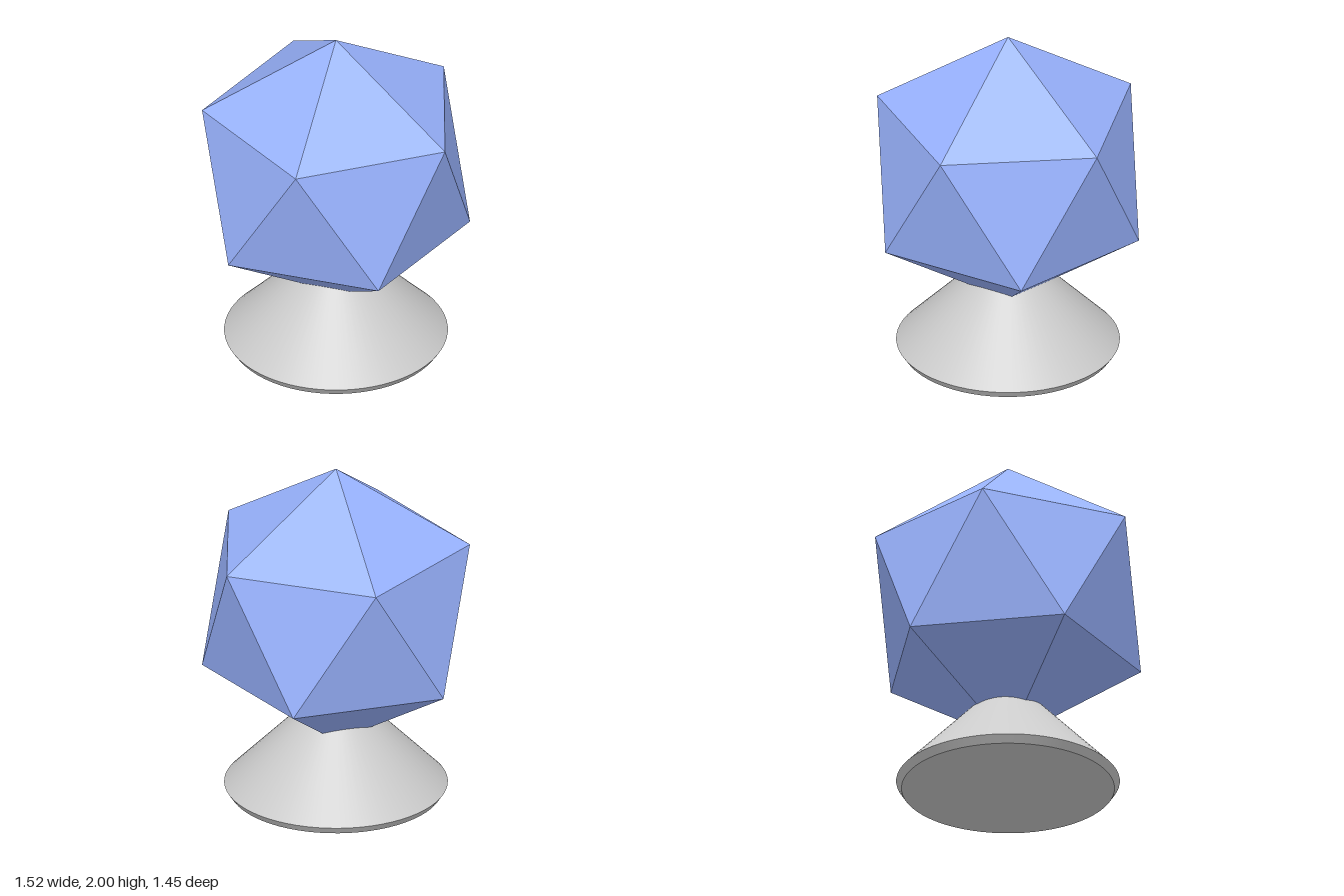
import * as THREE from 'three';

export function createModel() {
  const model = new THREE.Group();
  const grey = new THREE.MeshStandardMaterial({ color: 0xcccccc });
  const blue = new THREE.MeshStandardMaterial({ color: 0x99b3ff, flatShading: true });

  // Round section of the stand, from y0 to y1
  function standSection(name, rTop, rBottom, y0, y1) {
    const mesh = new THREE.Mesh(new THREE.CylinderGeometry(rTop, rBottom, y1 - y0, 64), grey);
    mesh.position.y = (y0 + y1) / 2;
    mesh.name = name;
    model.add(mesh);
  }
  standSection('standRim', 0.635, 0.605, 0, 0.045);
  standSection('standCone', 0.215, 0.635, 0.045, 0.478);

  // Twenty-sided gem balanced on one corner, sunk into the stand
  const radius = 0.85;
  const geometry = new THREE.IcosahedronGeometry(radius, 0);
  const golden = (1 + Math.sqrt(5)) / 2;
  geometry.rotateZ(-Math.atan(1 / golden)); // bring a corner to the top
  const gem = new THREE.Mesh(geometry, blue);
  gem.name = 'gem';
  gem.position.y = 2 - radius;
  model.add(gem);

  return model;
}
